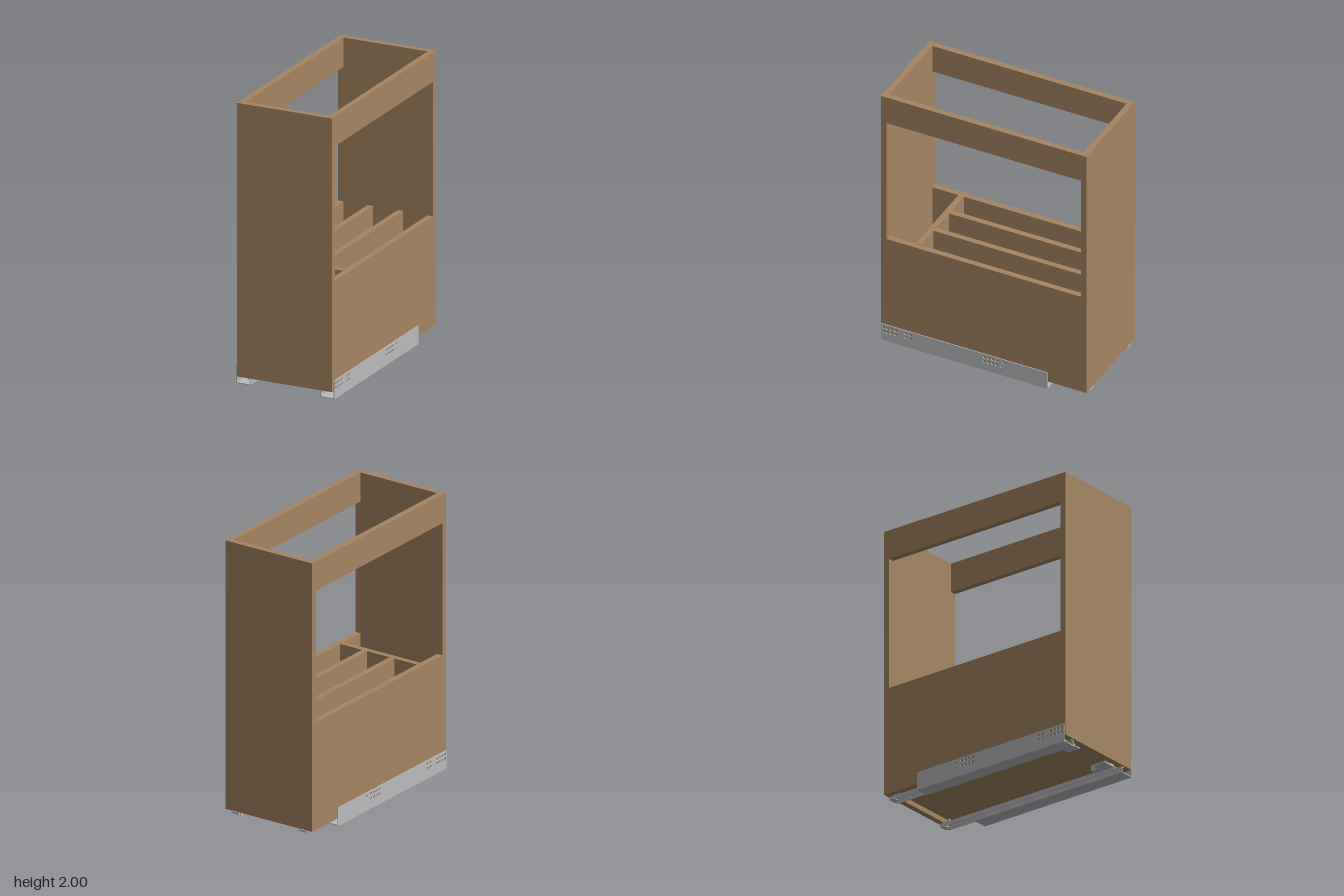
import * as THREE from 'three';

const wood = new THREE.MeshStandardMaterial({ color: 0xa58562 });
wood.name = 'wood';
const metal = new THREE.MeshStandardMaterial({ color: 0xb9bbbd });
metal.name = 'metal';

// Box given by its low and high limits on each axis
function slab(parent, name, material, [x0, x1], [y0, y1], [z0, z1]) {
  const geometry = new THREE.BoxGeometry(Math.abs(x1 - x0), y1 - y0, z1 - z0);
  const mesh = new THREE.Mesh(geometry, material);
  mesh.position.set((x0 + x1) / 2, (y0 + y1) / 2, (z0 + z1) / 2);
  mesh.name = name;
  parent.add(mesh);
  return mesh;
}

// Upright sheet with rows of screw holes, lying along z
function perforatedPlate(thickness, y0, y1, z0, z1) {
  const shape = new THREE.Shape();
  shape.moveTo(-z1, y0).lineTo(-z0, y0).lineTo(-z0, y1).lineTo(-z1, y1).closePath();
  for (const z of [0.75, 0.718, 0.687, 0.655, 0.582, 0.548, -0.012, -0.044, -0.075, -0.107, -0.122 - 0.018, -0.16]) {
    for (const y of [0.074, 0.107]) {
      const hole = new THREE.Path();
      hole.absarc(-z, y, 0.011, 0, Math.PI * 2, true);
      shape.holes.push(hole);
    }
  }
  const geometry = new THREE.ExtrudeGeometry(shape, { depth: thickness, bevelEnabled: false, curveSegments: 10 });
  geometry.translate(0, 0, -thickness / 2);
  geometry.rotateY(Math.PI / 2);
  return geometry;
}

function createSlide(side) {
  const slide = new THREE.Group();
  slide.name = side > 0 ? 'leftSlide' : 'rightSlide';
  const add = (name, x, y, z) => slab(slide, name, metal, [side * x[0], side * x[1]], y, z);

  // Fixed cabinet bracket
  const plate = new THREE.Mesh(perforatedPlate(0.006, 0, 0.132, -0.49, 0.768), metal);
  plate.position.x = side * 0.367;
  plate.name = 'bracketPlate';
  slide.add(plate);
  add('bracketBase', [0.262, 0.366], [0, 0.006], [-0.49, 0.768]);
  add('bracketInnerLip', [0.262, 0.267], [0.006, 0.045], [-0.49, 0.768]);
  add('bracketFlange', [0.267, 0.285], [0.04, 0.045], [-0.49, 0.768]);

  // Middle rail
  add('middleRailTop', [0.272, 0.306], [0.032, 0.036], [-0.725, 0.7]);
  add('middleRailSide', [0.302, 0.306], [0.02, 0.036], [-0.725, 0.7]);
  add('middleRailInner', [0.272, 0.276], [0.02, 0.036], [-0.725, 0.7]);

  // Inner rail carrying the drawer
  add('drawerRailTop', [0.236, 0.312], [0.045, 0.05], [-0.765, 0.72]);
  add('drawerRailInner', [0.236, 0.241], [0.022, 0.05], [-0.765, 0.72]);
  add('drawerRailOuter', [0.308, 0.312], [0.03, 0.05], [-0.765, 0.72]);

  // Rear hook
  add('rearHook', [0.245, 0.305], [0.03, 0.045], [-0.775, -0.735]);
  add('rearHookTab', [0.268, 0.282], [0.045, 0.085], [-0.735, -0.715]);

  // Front locking clip
  add('clipBody', [0.19, 0.238], [0.042, 0.085], [0.56, 0.72]);
  add('clipLever', [0.135, 0.2], [0.042, 0.05], [0.62, 0.72]);
  return slide;
}

export function createModel() {
  const model = new THREE.Group();
  model.name = 'pulloutDrawer';

  const outer = [-0.36, 0.356];
  const inner = [-0.317, 0.314];
  const depth = [-0.736, 0.732];
  const dividerTop = 0.835;

  // Full-height end panels
  slab(model, 'frontPanel', wood, outer, [0.05, 2], [0.732, 0.775]);
  slab(model, 'backPanel', wood, outer, [0.05, 2], [-0.778, -0.736]);

  // Low side walls and top rails leave the window open
  for (const [name, x] of [['left', [inner[1], outer[1]]], ['right', [outer[0], inner[0]]]]) {
    slab(model, name + 'SideWall', wood, x, [0.05, 0.832], depth);
    slab(model, name + 'TopRail', wood, x, [1.79, 2], depth);
  }

  // Recessed floor and compartments
  slab(model, 'floor', wood, inner, [0.085, 0.127], depth);
  slab(model, 'crossDivider', wood, inner, [0.127, dividerTop], [0.492, 0.533]);
  for (const x of [[-0.137, -0.095], [0.09, 0.131]]) {
    slab(model, 'longDivider', wood, x, [0.127, dividerTop], [-0.736, 0.492]);
  }

  model.add(createSlide(1), createSlide(-1));
  return model;
}
